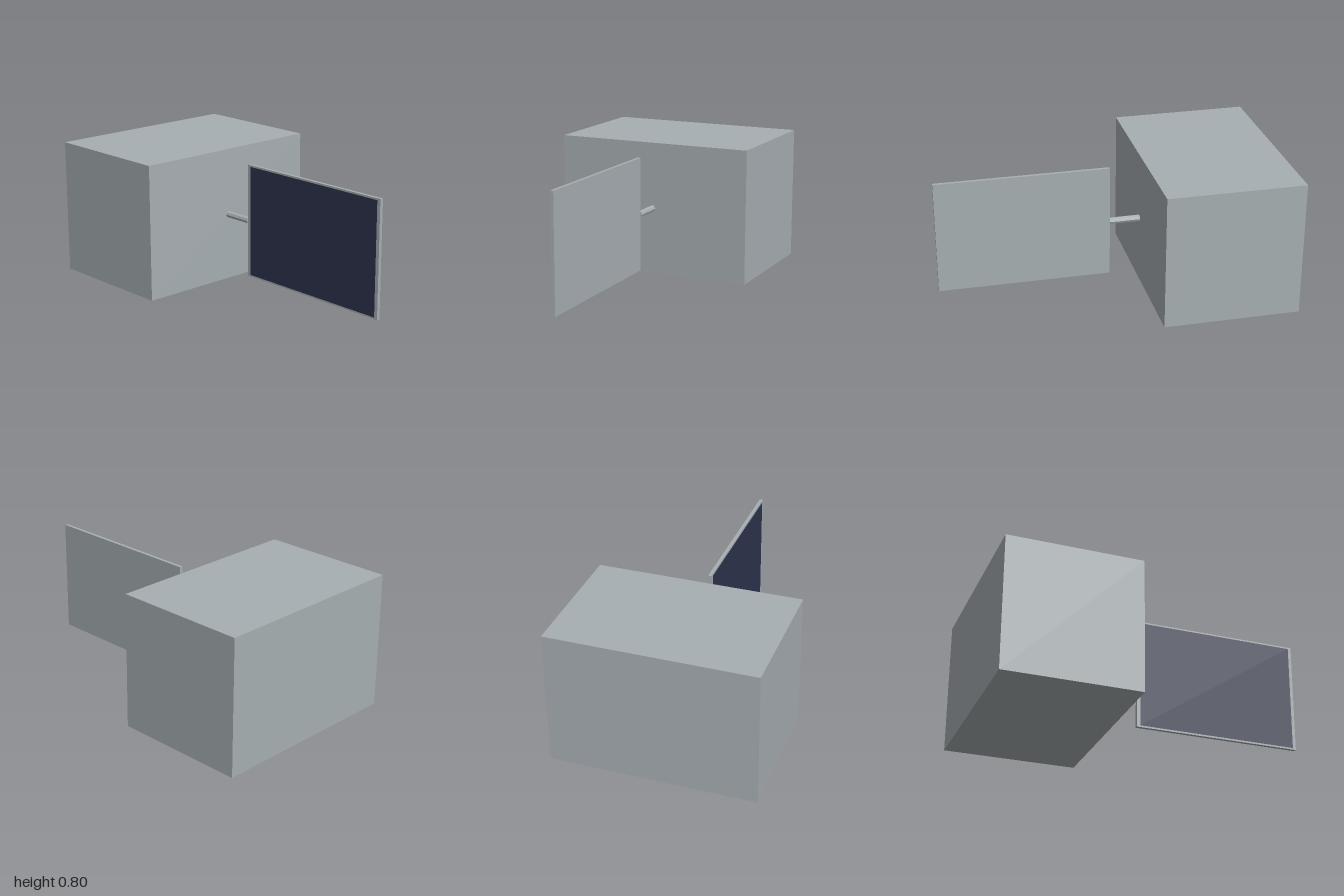
import * as THREE from 'three';

export function createModel() {
  const group = new THREE.Group();
  const metal = new THREE.MeshStandardMaterial({ name: 'grey metal', color: 0xa7afb2, flatShading: true });
  const cells = new THREE.MeshStandardMaterial({ name: 'dark blue cells', color: 0x2d344e });

  const add = (name, geometry, material, x, y, z) => {
    const mesh = new THREE.Mesh(geometry, material);
    mesh.name = name;
    mesh.position.set(x, y, z);
    group.add(mesh);
    return mesh;
  };

  // Box-shaped main body
  add('body', new THREE.BoxGeometry(0.8, 0.8, 1.2), metal, -0.6, 0.4, 0);

  // Eight-sided arm joining the body to the panel
  const arm = add('panelArm', new THREE.CylinderGeometry(0.02, 0.02, 0.18, 8), metal, -0.11, 0.4, 0);
  arm.rotation.z = Math.PI / 2;

  // Thin panel with a dark cell sheet on its front
  add('panelFrame', new THREE.BoxGeometry(1.02, 0.68, 0.02), metal, 0.49, 0.4, 0);
  add('panelCells', new THREE.PlaneGeometry(0.98, 0.66), cells, 0.49, 0.4, 0.0115);

  return group;
}
